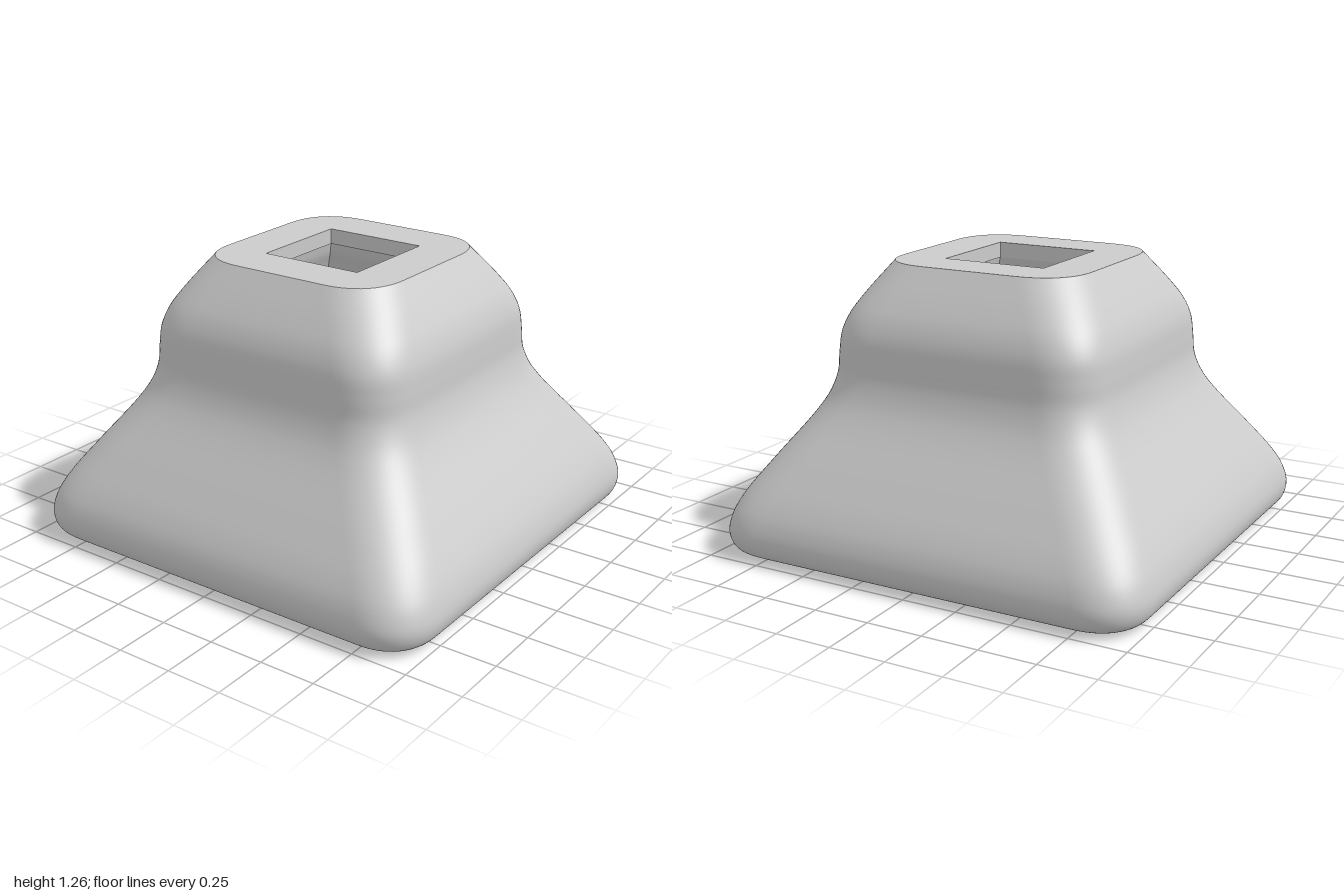
import * as THREE from 'three';
import { toCreasedNormals } from 'three/addons/utils/BufferGeometryUtils.js';

const TOP = 1.26, PLATE = 1.19, FLOOR = 0.85, CEILING = 0.38;
const OPENING = 0.73, HOLE = 0.24;

// Closed loop of [x, z] points for a square with softly rounded corners
function roundedSquare(half, r, n = 14) {
  const pts = [];
  const soft = (v) => Math.pow(Math.abs(v), 0.85);
  for (let c = 0; c < 4; c++) {
    for (let i = 0; i <= n; i++) {
      const a = (i / n) * Math.PI / 2;
      const x = half - r + r * soft(Math.cos(a)), z = half - r + r * soft(Math.sin(a));
      pts.push([[x, z], [-z, x], [-x, -z], [z, -x]][c]);
    }
  }
  return pts;
}

const square = (h) => [[h, -h], [h, h], [-h, h], [-h, -h]];

// Cross-shaped loop: four rounded lobes between chamfered posts
function cross(lobe) {
  const side = [[0.29, 0.19], [0.39, 0.18], [0.44, 0.16], [0.475, 0.125], [0.495, 0.075], [0.5, 0.025]];
  const arm = [...side.map(([x, z]) => [x, -z]), ...side.slice().reverse()]
    .map(([x, z]) => [0.29 + (x - 0.29) * lobe, z]);
  const pts = [];
  for (let k = 0; k < 4; k++) {
    for (const [x, z] of arm) pts.push([[x, z], [-z, x], [-x, -z], [z, -x]][k]);
  }
  return pts;
}

// Skin through stacked loops; inward turns the faces to the inside
function loft(rings, inward = false) {
  const pos = [], index = [], n = rings[0].loop.length;
  for (const { y, loop } of rings) for (const [x, z] of loop) pos.push(x, y, z);
  for (let j = 0; j < rings.length - 1; j++) {
    for (let i = 0; i < n; i++) {
      const a = j * n + i, b = j * n + (i + 1) % n, c = a + n, d = b + n;
      if (inward) index.push(a, b, c, b, d, c);
      else index.push(a, c, b, b, c, d);
    }
  }
  const g = new THREE.BufferGeometry();
  g.setAttribute('position', new THREE.Float32BufferAttribute(pos, 3));
  g.setIndex(index);
  g.computeVertexNormals();
  return g;
}

// Flat ring between two loops, facing up or down
function plate(outer, inner, y, up) {
  const vec = (loop) => loop.map(([x, z]) => new THREE.Vector2(x, z));
  const shape = new THREE.Shape(vec(outer));
  shape.holes.push(new THREE.Path(vec(inner)));
  return new THREE.ShapeGeometry(shape).rotateX(up ? -Math.PI / 2 : Math.PI / 2).translate(0, y, 0);
}

// Smooth profile of [half width, height] points
function profile(points, steps) {
  return new THREE.CatmullRomCurve3(points.map(([h, y]) => new THREE.Vector3(h, y, 0))).getPoints(steps);
}

// Inside walls of a square cavity with a curved profile
function squareCavity(points) {
  const rings = profile(points, 20).map((p) => ({ y: p.y, loop: square(p.x) }));
  return toCreasedNormals(loft(rings, true), 0.7);
}

export function createModel() {
  const group = new THREE.Group();
  const material = new THREE.MeshStandardMaterial({ color: 0xcccccc });
  const add = (name, geometry) => {
    const mesh = new THREE.Mesh(geometry, material);
    mesh.name = name;
    group.add(mesh);
  };

  // Outer bell: flared foot, waist and tapering shoulder
  const outer = profile([
    [0.89, 0], [0.945, 0.012], [0.983, 0.04], [1, 0.1], [0.985, 0.18], [0.945, 0.265],
    [0.85, 0.41], [0.72, 0.6], [0.672, 0.69], [0.645, 0.78], [0.638, 0.87],
    [0.628, 0.96], [0.6, 1.04], [0.55, 1.125], [0.457, TOP],
  ], 70);
  const outerLoop = (h, y) => roundedSquare(h, y < 0.1 ? 0.24 - (1 - h) * 0.6 : 0.24);
  add('outerShell', loft(outer.map((p) => ({ y: p.y, loop: outerLoop(p.x, p.y) }))));

  // Flat rims at the foot and the top
  add('bottomRim', plate(outerLoop(0.89, 0), square(OPENING), 0, false));
  add('topRim', plate(outerLoop(0.457, TOP), square(HOLE), TOP, true));

  // Square cavity under the foot, curving in towards its ceiling
  add('lowerCavity', squareCavity([
    [OPENING, 0], [0.715, 0.09], [0.67, 0.17], [0.59, 0.26], [0.555, 0.31], [0.54, CEILING],
  ]));
  add('cavityCeiling', plate(square(0.54), cross(1), CEILING, false));

  // Cross-shaped shaft, its lobes curving in towards the upper cavity
  const lobes = [[1, CEILING], [0.97, 0.5], [0.87, 0.62], [0.66, 0.75], [0.25, FLOOR]];
  add('crossShaft', toCreasedNormals(
    loft(profile(lobes, 14).map((p) => ({ y: p.y, loop: cross(p.x) })), true), 0.5));

  // Square cavity below the top plate, widening downwards
  add('upperCavityFloor', plate(square(0.35), cross(0.25), FLOOR, true));
  add('upperCavity', squareCavity([
    [0.35, FLOOR], [0.345, 0.92], [0.325, 1.0], [0.29, 1.08], [0.26, 1.14], [0.245, PLATE],
  ]));
  add('upperCavityCeiling', plate(square(0.245), square(HOLE), PLATE, false));

  // Square hole through the top
  add('topHole', toCreasedNormals(loft([
    { y: PLATE, loop: square(HOLE) }, { y: TOP, loop: square(HOLE) },
  ], true), 0.5));

  return group;
}
